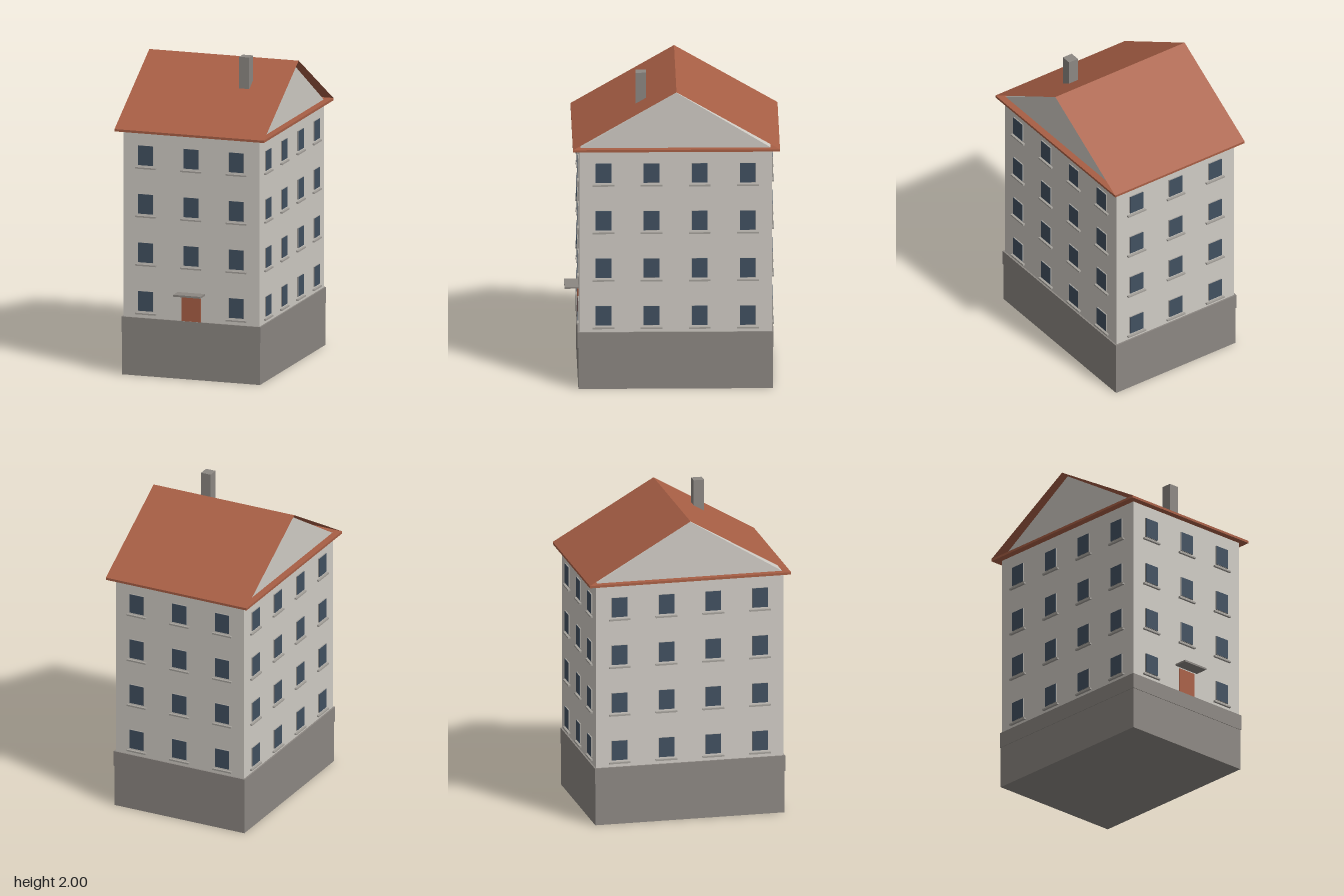
import * as THREE from 'three';

const mat = (name, color, side = THREE.FrontSide) => {
  const m = new THREE.MeshStandardMaterial({ color, side });
  m.name = name;
  return m;
};

export function createModel() {
  const wall = mat('plaster', 0xcfcbc4);
  const stone = mat('grey stone', 0x8c8782);
  const trim = mat('window trim', 0xa5a19b);
  const tile = mat('red tile', 0xa85f45, THREE.DoubleSide);
  const glass = mat('dark blue glass', 0x415060);

  const model = new THREE.Group();
  model.name = 'apartmentHouse';
  const midZ = -0.02; // the body sits slightly behind the centre

  // Box given by its limits on each axis
  const box = (name, material, [x0, x1], [y0, y1], [z0, z1], parent = model) => {
    const mesh = new THREE.Mesh(new THREE.BoxGeometry(x1 - x0, y1 - y0, z1 - z0), material);
    mesh.position.set((x0 + x1) / 2, (y0 + y1) / 2, (z0 + z1) / 2);
    mesh.name = name;
    parent.add(mesh);
    return mesh;
  };

  // Basement, plinth band and walls
  box('basement', stone, [-0.456, 0.456], [0, 0.27], [midZ - 0.606, midZ + 0.606]);
  box('plinth', stone, [-0.46, 0.46], [0.27, 0.37], [midZ - 0.61, midZ + 0.61]);
  box('walls', wall, [-0.45, 0.45], [0.37, 1.56], [midZ - 0.6, midZ + 0.6]);

  // Gables: one prism under the roof
  const gable = new THREE.Shape();
  gable.moveTo(-0.6, 1.565);
  gable.lineTo(0.6, 1.565);
  gable.lineTo(0, 1.932);
  gable.closePath();
  const gableGeometry = new THREE.ExtrudeGeometry(gable, { depth: 0.9, bevelEnabled: false });
  gableGeometry.translate(0, 0, -0.45).rotateY(Math.PI / 2).translate(0, 0, midZ);
  const gables = new THREE.Mesh(gableGeometry, wall);
  gables.name = 'gables';
  model.add(gables);

  // Eaves slab and two thin roof slopes
  const ridgeZ = -0.025, run = 0.645, rise = 0.375;
  box('eaves', tile, [-0.494, 0.494], [1.555, 1.57], [ridgeZ - run, ridgeZ + run]);
  for (const side of [1, -1]) {
    const geometry = new THREE.PlaneGeometry(0.988, Math.hypot(run, rise));
    geometry.rotateX(-Math.atan2(run, rise));
    if (side < 0) geometry.rotateY(Math.PI);
    const slope = new THREE.Mesh(geometry, tile);
    slope.position.set(0, 1.57 + rise / 2, ridgeZ + side * run / 2);
    slope.name = side > 0 ? 'frontRoofSlope' : 'backRoofSlope';
    model.add(slope);
  }
  box('chimney', stone, [0.19, 0.257], [1.75, 2], [0.16, 0.227]);

  // Door and its canopy
  box('door', tile, [-0.063, 0.063], [0.37, 0.53], [0.578, 0.586]);
  box('doorCanopy', stone, [-0.09, 0.09], [0.54, 0.552], [0.575, 0.667]);

  // Window facing +z: shallow surround, glass plate and sill
  const addWindow = (parent, x, y, z) => {
    const w = new THREE.Group();
    w.name = 'window';
    w.position.set(x, y, z);
    box('surround', trim, [-0.05, 0.05], [0, 0.127], [-0.002, 0.007], w);
    box('glass', glass, [-0.049, 0.049], [0.001, 0.126], [0.006, 0.009], w);
    box('sill', trim, [-0.068, 0.068], [-0.022, -0.012], [-0.002, 0.015], w);
    parent.add(w);
  };

  // Four facades, each turned to its side of the house
  const narrow = [-0.3, 0, 0.3], wide = [-0.45, -0.15, 0.15, 0.45];
  const facades = [
    ['frontWindows', 0, narrow, 0.6],
    ['leftWindows', Math.PI / 2, wide, 0.45],
    ['backWindows', Math.PI, narrow, 0.6],
    ['rightWindows', -Math.PI / 2, wide, 0.45],
  ];
  for (const [name, angle, columns, distance] of facades) {
    const facade = new THREE.Group();
    facade.name = name;
    facade.rotation.y = angle;
    facade.position.z = midZ;
    for (let floor = 0; floor < 4; floor++) {
      for (const x of columns) {
        if (name === 'frontWindows' && floor === 0 && x === 0) continue; // door
        addWindow(facade, x, 0.414 + floor * 0.31, distance);
      }
    }
    model.add(facade);
  }
  return model;
}
